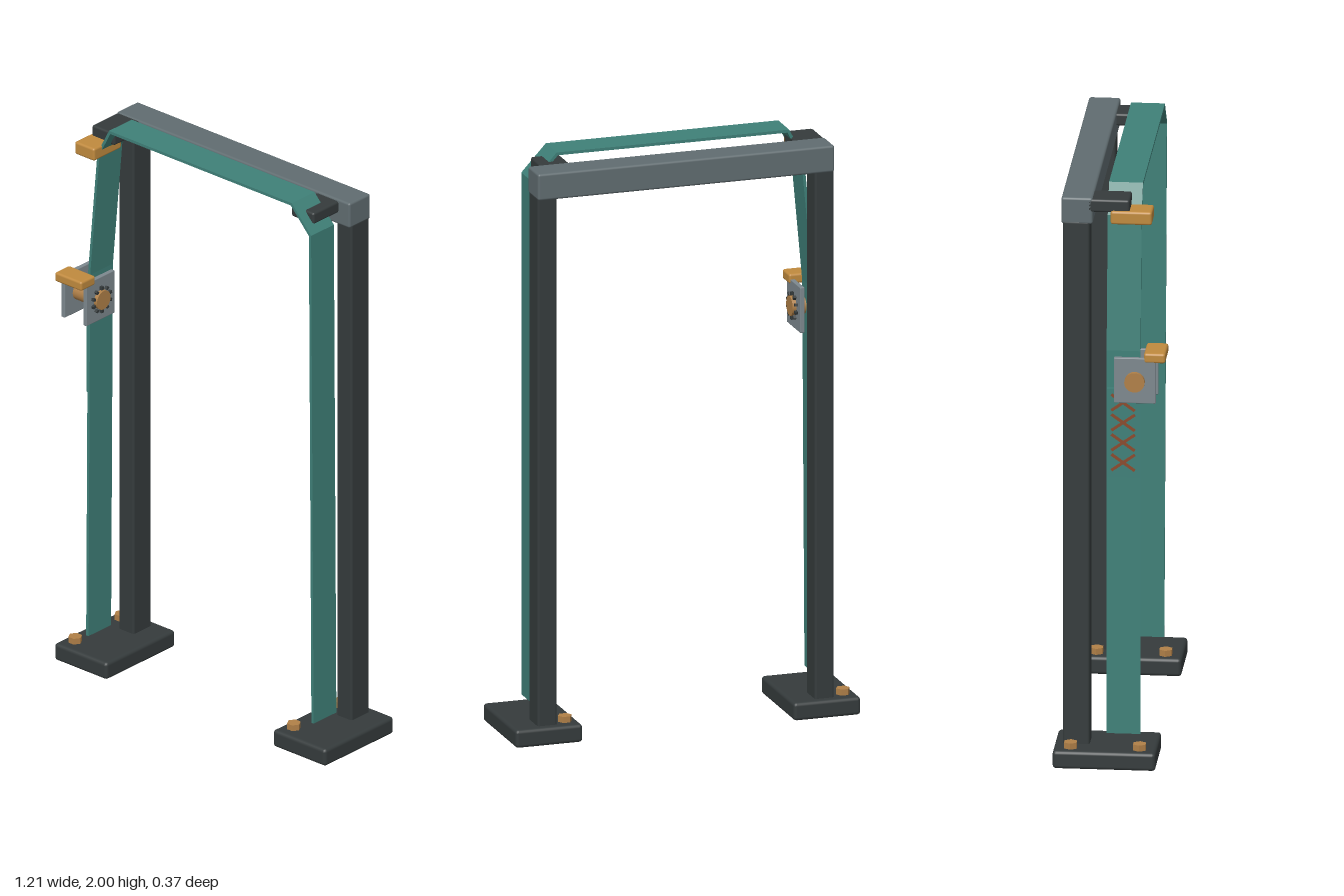
import * as THREE from 'three';
import { RoundedBoxGeometry } from 'three/addons/geometries/RoundedBoxGeometry.js';

const mat = (name, color) => {
  const m = new THREE.MeshStandardMaterial({ color });
  m.name = name;
  return m;
};

export function createModel() {
  const group = new THREE.Group();
  const dark = mat('dark paint', 0x353b3c);
  const grey = mat('grey paint', 0x606c70);
  const teal = mat('teal webbing', 0x3f8078);
  const amber = mat('amber metal', 0xc08a3e);
  const bronze = mat('bronze metal', 0xb08048);
  const steel = mat('steel', 0x7d888e);
  const rust = mat('rust thread', 0x8a4a2c);

  const add = (name, geometry, material) => {
    const mesh = new THREE.Mesh(geometry, material);
    mesh.name = name;
    group.add(mesh);
    return mesh;
  };
  // Softened box given by its minimum and maximum on each axis
  const block = (name, material, [x0, x1], [y0, y1], [z0, z1], r = 0.008) => {
    const mesh = add(name, new RoundedBoxGeometry(x1 - x0, y1 - y0, z1 - z0, 2, r), material);
    mesh.position.set((x0 + x1) / 2, (y0 + y1) / 2, (z0 + z1) / 2);
    return mesh;
  };

  // Frame: feet, posts and crossbeam
  for (const s of [-1, 1]) {
    const span = (a, b) => (s > 0 ? [a, b] : [-b, -a]);
    block('footPlate', dark, span(0.37, 0.605), [0, 0.062], [-0.187, 0.156], 0.012);
    block('post', dark, span(0.452, 0.52), [0.05, 1.895], [-0.16, -0.07]);
    // Hexagonal anchor bolts on the inner-right side of each foot
    for (const z of [-0.13, 0.1]) {
      const bolt = add('anchorBolt', new THREE.CylinderGeometry(0.024, 0.024, 0.03, 6).toNonIndexed(), bronze);
      bolt.geometry.rotateY(Math.PI / 6);
      bolt.geometry.computeVertexNormals();
      bolt.position.set(s > 0 ? 0.415 : -0.56, 0.068, z);
    }
  }
  block('crossbeam', grey, [-0.52, 0.52], [1.885, 1.977], [-0.165, -0.06]);

  // Guide arms that carry the strap
  block('leftGuideArm', dark, [-0.52, -0.418], [1.928, 1.973], [-0.08, 0.063]);
  block('rightGuideArm', dark, [0.37, 0.47], [1.928, 1.97], [-0.08, 0.063]);

  // Strap: a mitred ribbon following the frame
  const path = [
    [-0.508, 0.1], [-0.5, 1.44], [-0.458, 1.9], [-0.408, 1.995],
    [0.402, 1.995], [0.485, 1.905], [0.488, 0.1],
  ].map(([x, y]) => new THREE.Vector2(x, y));
  const edge = (side) => path.map((p, i) => {
    const a = path[Math.max(i - 1, 0)], b = path[Math.min(i + 1, path.length - 1)];
    const d1 = (i ? p.clone().sub(a) : b.clone().sub(p)).normalize();
    const d2 = (i < path.length - 1 ? b.clone().sub(p) : d1.clone()).normalize();
    const t = d1.clone().add(d2).normalize();
    return new THREE.Vector2(-t.y, t.x).multiplyScalar(side * 0.005 / t.dot(d1)).add(p);
  });
  const strapShape = new THREE.Shape([...edge(1), ...edge(-1).reverse()]);
  const strap = new THREE.ExtrudeGeometry(strapShape, { depth: 0.113, bevelEnabled: false });
  strap.translate(0, 0, -0.015);
  // The right-hand fall drifts back slightly towards its end
  const pos = strap.attributes.position;
  for (let i = 0; i < pos.count; i++) {
    if (pos.getX(i) > 0.45) pos.setZ(i, pos.getZ(i) - 0.005 * (2 - pos.getY(i)));
  }
  strap.computeVertexNormals();
  add('strap', strap, teal);

  // Sewn overlap: crossed stitches on the outer face of the strap
  const overlap = add('strapOverlap', new THREE.BoxGeometry(0.008, 0.31, 0.108), teal);
  overlap.position.set(-0.51, 1.155, 0.041);
  for (let i = 0; i < 4; i++) {
    for (const s of [-1, 1]) {
      const stitch = add('crossStitch', new THREE.BoxGeometry(0.006, 0.095, 0.009), rust);
      stitch.position.set(-0.516, 1.052 + i * 0.07, 0.041);
      stitch.rotation.x = s * 0.95;
    }
  }

  // Top buckle
  block('topBuckle', amber, [-0.53, -0.442], [1.89, 1.936], [0, 0.138]);

  // Ratchet: cheek plates, spool, end caps and handle
  const cy = 1.357, cz = 0.085;
  for (const x of [-0.565, -0.468]) {
    block('ratchetCheek', steel, [x - 0.008, x + 0.008], [1.28, 1.438], [0.015, 0.155], 0.003);
  }
  const rod = (name, x0, x1, r) => {
    const mesh = add(name, new THREE.CylinderGeometry(r, r, x1 - x0, 20), bronze);
    mesh.rotation.z = Math.PI / 2;
    mesh.position.set((x0 + x1) / 2, cy, cz);
  };
  rod('spool', -0.57, -0.463, 0.031);
  rod('spoolCap', -0.588, -0.572, 0.034);
  rod('spoolCap', -0.461, -0.446, 0.034);

  // Ratchet teeth around the inner cap
  for (let i = 0; i < 10; i++) {
    const a = (i / 10) * Math.PI * 2;
    const tooth = add('ratchetTooth', new THREE.BoxGeometry(0.012, 0.012, 0.01), dark);
    tooth.position.set(-0.456, cy + Math.cos(a) * 0.042, cz + Math.sin(a) * 0.042);
    tooth.rotation.x = a;
  }
  block('ratchetHandle', amber, [-0.575, -0.455], [1.422, 1.456], [0.115, 0.187]);

  return group;
}
